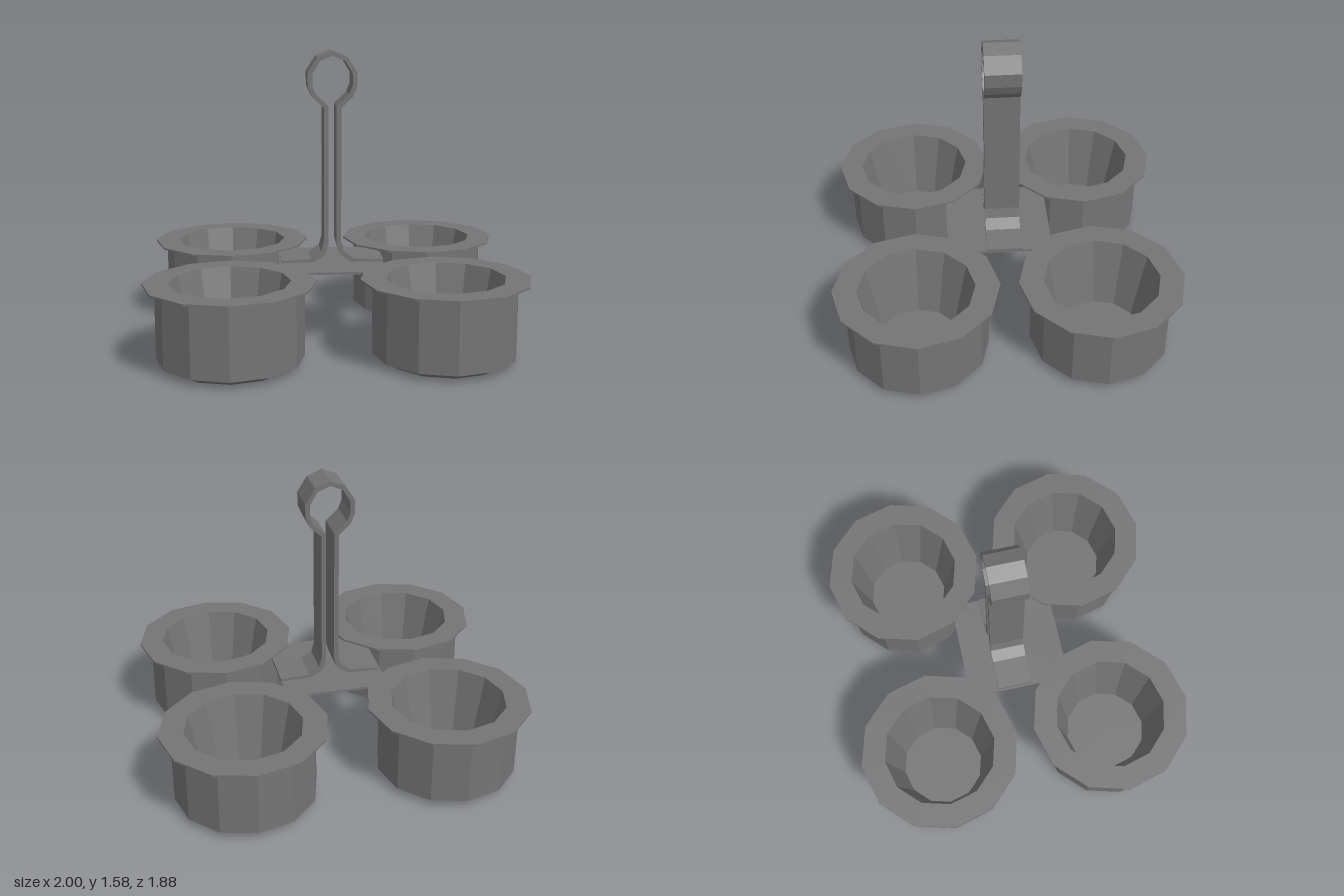
import * as THREE from 'three';

const darkGrey = new THREE.MeshStandardMaterial({ color: 0x747474, flatShading: true });

function add(parent, name, geometry, x = 0, y = 0, z = 0) {
  const mesh = new THREE.Mesh(geometry, darkGrey);
  mesh.name = name;
  mesh.position.set(x, y, z);
  parent.add(mesh);
  return mesh;
}

// Half outline of the handle strip on +x: outer edge from crown to foot, and inner edge likewise.
const OUTER = [[0, 1.575], [0.08, 1.543], [0.133, 1.46], [0.132, 1.385], [0.11, 1.332], [0.047, 1.272],
  [0.047, 0.54], [0.063, 0.485], [0.12, 0.446], [0.28, 0.438]];
const INNER = [[0, 1.55], [0.066, 1.523], [0.108, 1.453], [0.108, 1.39], [0.09, 1.345], [0.022, 1.28],
  [0.022, 0.53], [0.04, 0.47], [0.1, 0.429], [0.28, 0.424]];

function handleGeometry(depth) {
  const mirror = (pts) => pts.slice(1).map(([x, y]) => [-x, y]);
  const outline = [
    ...mirror(OUTER).reverse(), ...OUTER,
    ...[...INNER].reverse(), ...mirror(INNER),
  ];
  const shape = new THREE.Shape(outline.map(([x, y]) => new THREE.Vector2(x, y)));
  const geometry = new THREE.ExtrudeGeometry(shape, { depth, bevelEnabled: false });
  return geometry.translate(0, 0, -depth / 2);
}

// Cup section: underside, chamfered base, wall, flat rim, tapered bowl, floor.
function cupGeometry() {
  const profile = [[0, 0], [0.31, 0], [0.35, 0.028], [0.382, 0.037], [0.382, 0.423], [0.4445, 0.425],
    [0.4445, 0.435], [0.313, 0.435], [0.228, 0.06], [0, 0.06]];
  return new THREE.LatheGeometry(profile.map(([r, y]) => new THREE.Vector2(r, y)), 12);
}

export function createModel() {
  const model = new THREE.Group();
  model.name = 'cupCaddy';

  // Four cups
  const cup = cupGeometry();
  for (const [side, x] of [['Left', 0.5555], ['Right', -0.5555]]) {
    for (const [end, z] of [['front', 0.491], ['back', -0.496]]) {
      add(model, `${end}${side}Cup`, cup, x, 0, z);
    }
  }

  // Plate joining the cups
  add(model, 'basePlate', new THREE.BoxGeometry(0.57, 0.013, 0.575), -0.007, 0.419, 0.025);

  // Bent strip handle with a loop at the top
  add(model, 'handle', handleGeometry(0.192));

  return model;
}
